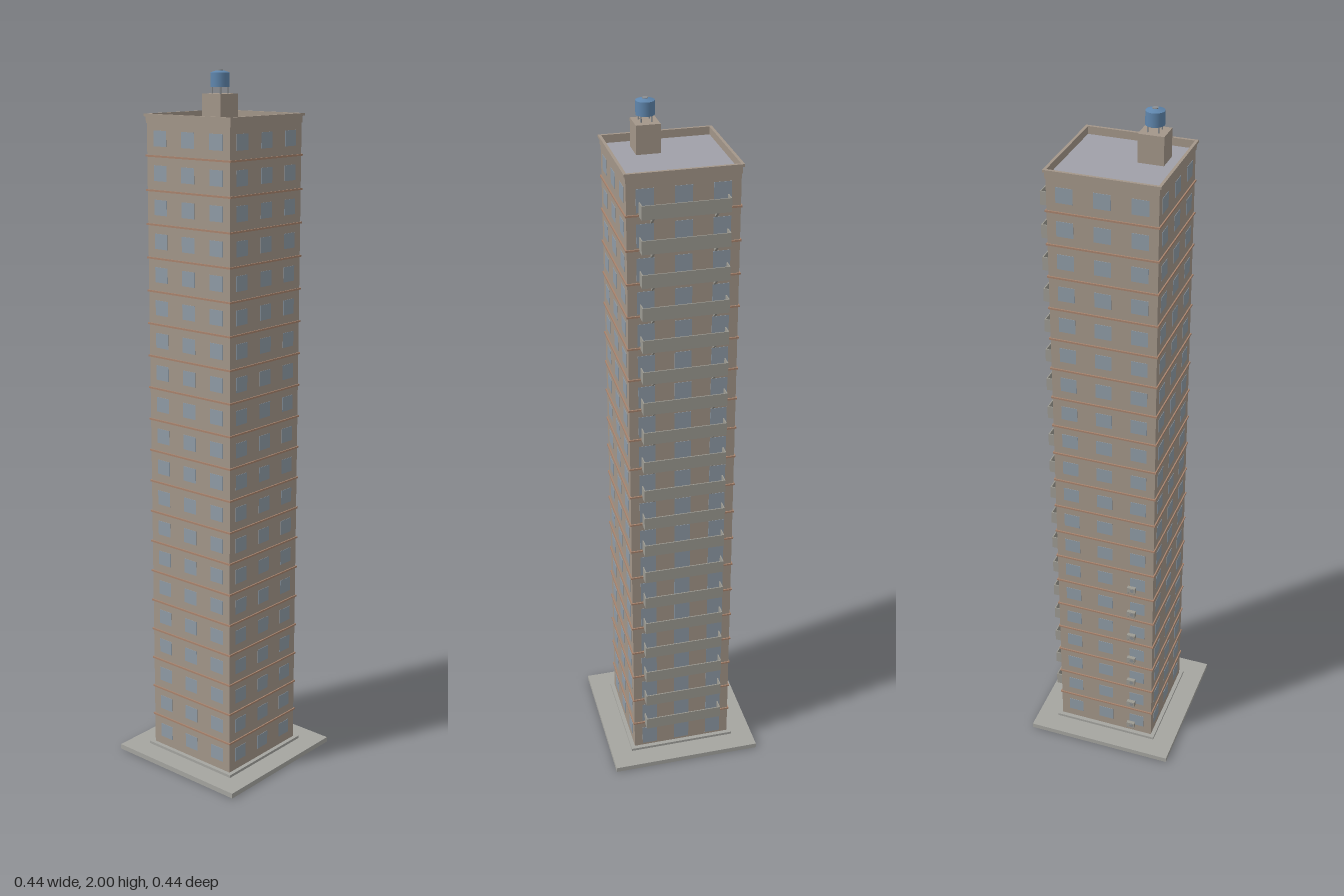
import * as THREE from 'three';

const mat = (color) => new THREE.MeshStandardMaterial({ color });

export function createModel() {
  const root = new THREE.Group();
  const wall = mat(0xa39689), stone = mat(0xa5a5a0), glass = mat(0x8f9ba6), trim = mat(0xa8846e),
    roofGrey = mat(0xa0a0a8), concrete = mat(0x9c9a92), blue = mat(0x5f86ad), metal = mat(0x8a8d90);

  const FLOORS = 20, FLOOR_H = 0.0921, Y0 = 0.023, H = 0.148; // H: half width of the tower
  const TOP = Y0 + FLOORS * FLOOR_H;

  const add = (name, geo, material, x, y, z, parent = root) => {
    const m = new THREE.Mesh(geo, material);
    m.name = name;
    m.position.set(x, y, z);
    parent.add(m);
    return m;
  };
  const box = (name, w, h, d, material, x, y, z, parent) =>
    add(name, new THREE.BoxGeometry(w, h, d), material, x, y, z, parent);

  // Square ring lying flat, y from 0 to h
  const ring = (outer, inner, h) => {
    const sq = (C, r) => new C([[-r, -r], [r, -r], [r, r], [-r, r]].map((p) => new THREE.Vector2(...p)));
    const s = sq(THREE.Shape, outer);
    s.holes.push(sq(THREE.Path, inner));
    return new THREE.ExtrudeGeometry(s, { depth: h, bevelEnabled: false }).rotateX(-Math.PI / 2);
  };

  // Ground slab, plinth and tower
  box('groundSlab', 0.445, 0.015, 0.445, stone, 0, 0.0075, 0);
  box('plinth', 0.32, 0.008, 0.32, stone, 0, 0.019, 0);
  box('towerBody', 2 * H, TOP - Y0 - 0.006, 2 * H, wall, 0, (TOP + Y0 - 0.006) / 2, 0);

  // Flat roof behind a parapet with a coping
  box('roof', 2 * H - 0.002, 0.004, 2 * H - 0.002, roofGrey, 0, TOP - 0.005, 0);
  add('parapet', ring(0.15, H - 0.001, 0.018), wall, 0, TOP - 0.006, 0);
  add('coping', ring(0.154, 0.146, 0.007), wall, 0, TOP + 0.012, 0);

  // Floor bands
  for (let i = 1; i < FLOORS; i++)
    add('floorBand', ring(0.1515, H - 0.002, 0.005), trim, 0, Y0 + i * FLOOR_H - 0.0025, 0);

  // Windows on the four faces; taller doors on the balcony face
  for (let face = 0; face < 4; face++) {
    const side = new THREE.Group();
    side.name = ['frontWindows', 'leftDoors', 'backWindows', 'rightWindows'][face];
    side.rotation.y = face * Math.PI / 2;
    root.add(side);
    const h = face === 1 ? 0.062 : 0.042;
    const cy = face === 1 ? 0.038 : 0.047;
    for (let i = 0; i < FLOORS; i++)
      for (const x of [-0.1, 0, 0.1])
        box('window', 0.046, h, 0.002, glass, x, Y0 + i * FLOOR_H + cy, H, side);
  }

  // Balconies: floor, parapet walls and two triangular brackets
  const tri = new THREE.Shape([[0, 0], [0, -0.022], [0.026, 0]].map((p) => new THREE.Vector2(...p)));
  const bracketGeo = new THREE.ExtrudeGeometry(tri, { depth: 0.006, bevelEnabled: false });
  const balcony = (y) => {
    const g = new THREE.Group();
    g.name = 'balcony';
    g.position.set(H, y, 0);
    root.add(g);
    box('balconyFloor', 0.03, 0.005, 0.232, concrete, 0.015, 0.0025, 0, g);
    box('balconyFront', 0.003, 0.037, 0.232, concrete, 0.0285, 0.0185, 0, g);
    for (const s of [-1, 1]) {
      box('balconySide', 0.03, 0.037, 0.003, concrete, 0.015, 0.0185, s * 0.1145, g);
      add('bracket', bracketGeo, concrete, 0, 0, s * 0.083 - 0.003, g);
    }
  };
  for (let i = 1; i < FLOORS; i++) balcony(Y0 + i * FLOOR_H - 0.002);

  // Air conditioners on the lower back floors
  const fan = new THREE.CylinderGeometry(0.006, 0.006, 0.001, 16).rotateX(Math.PI / 2);
  for (let i = 0; i < 7; i++) {
    const y = 0.053 + i * FLOOR_H;
    box('airConditioner', 0.025, 0.017, 0.011, concrete, -0.084, y, -H - 0.0075);
    add('airConditionerFan', fan, metal, -0.087, y, -H - 0.0132);
    for (const s of [-1, 1])
      box('airConditionerBracket', 0.002, 0.003, 0.013, metal, -0.084 + s * 0.009, y - 0.01, -H - 0.0065);
  }

  // Stair house and water tank on the roof
  const tx = -0.071, tz = 0.046;
  box('stairHouse', 0.07, 0.077, 0.065, wall, tx, 1.9005, tz);
  for (let i = 0; i < 4; i++) {
    const a = Math.PI / 4 + i * Math.PI / 2;
    add('tankLeg', new THREE.CylinderGeometry(0.002, 0.002, 0.02, 8), metal,
      tx + 0.02 * Math.cos(a), 1.948, tz + 0.02 * Math.sin(a));
  }
  add('waterTank', new THREE.CylinderGeometry(0.025, 0.025, 0.037, 24), blue, tx, 1.9745, tz);
  add('tankTop', new THREE.CylinderGeometry(0.009, 0.025, 0.005, 24), blue, tx, 1.9955, tz);
  add('tankLid', new THREE.CylinderGeometry(0.008, 0.008, 0.003, 16), metal, tx, 1.9985, tz);

  return root;
}
